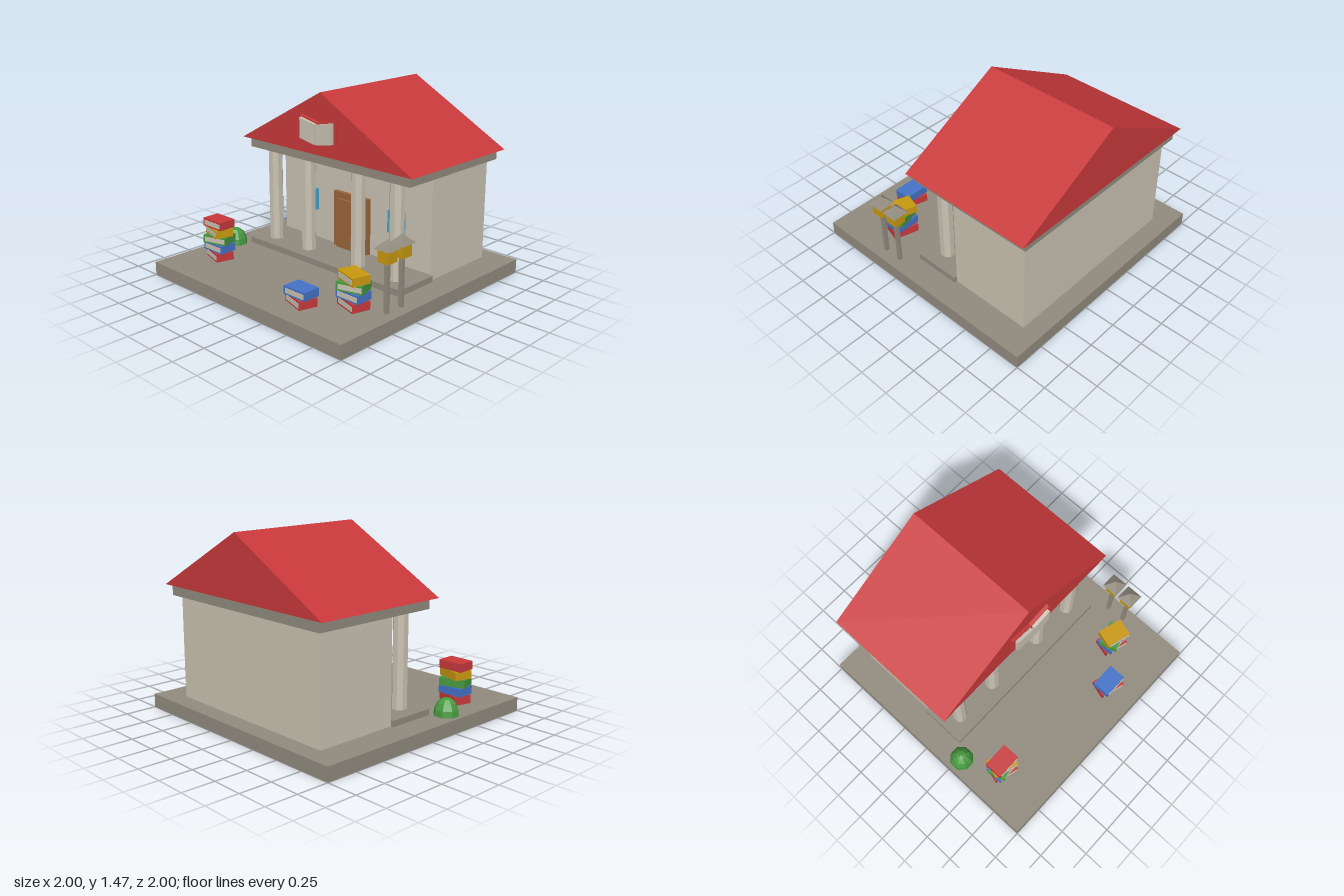
import * as THREE from 'three';

const mat = (name, color, side = THREE.FrontSide) => {
  const m = new THREE.MeshStandardMaterial({ color, side, flatShading: true });
  m.name = name;
  return m;
};

export function createModel() {
  const root = new THREE.Group();
  root.name = 'library';
  const stone = mat('stone grey', 0x928b7e);
  const slab = stone;
  const beige = mat('beige', 0xcac3b3);
  const red = mat('red', 0xc8393b);
  const brown = mat('brown', 0x9b663a);
  const glass = mat('window blue', 0x4aa3cc);
  const blue = mat('book blue', 0x4473c8);
  const yellow = mat('yellow', 0xc8990f);
  const green = mat('green', 0x489a40);
  stone.side = THREE.DoubleSide;

  const add = (name, geometry, material, parent = root) => {
    const mesh = new THREE.Mesh(geometry, material);
    mesh.name = name;
    parent.add(mesh);
    return mesh;
  };
  // Box given by its limits on each axis
  const box = (name, material, x0, x1, y0, y1, z0, z1, parent = root) => {
    const mesh = add(name, new THREE.BoxGeometry(x1 - x0, y1 - y0, z1 - z0), material, parent);
    mesh.position.set((x0 + x1) / 2, (y0 + y1) / 2, (z0 + z1) / 2);
    return mesh;
  };
  // Flat outline extruded from z0 to z1
  const plate = (name, material, points, z0, z1, parent = root) => {
    const shape = new THREE.Shape(points.map(([x, y]) => new THREE.Vector2(x, y)));
    const mesh = add(name, new THREE.ExtrudeGeometry(shape, { depth: z1 - z0, bevelEnabled: false }), material, parent);
    mesh.position.z = z0;
    return mesh;
  };

  // Ground slab, open underneath (the -y face is removed)
  const ground = box('groundSlab', slab, -1, 1, 0, 0.107, -1, 1).geometry;
  ground.setIndex(Array.from(ground.index.array).filter((_, i) => i < 18 || i >= 24));
  ground.clearGroups();

  // Building
  box('porchFloor', stone, -0.8, 0.8, 0.107, 0.155, -0.19, 0.19);
  box('walls', beige, -0.775, 0.775, 0.107, 0.91, -0.855, -0.19);
  box('entablature', stone, -0.825, 0.825, 0.91, 0.99, -0.905, 0.135);
  plate('roof', red, [[-0.877, 0.99], [0.877, 0.99], [0, 1.467]], -0.932, 0.175);

  // Octagonal columns
  for (const x of [-0.64, -0.264, 0.264, 0.64]) {
    const column = add('column', new THREE.CylinderGeometry(0.058, 0.058, 0.755, 8).rotateY(Math.PI / 8), beige);
    column.position.set(x, 0.5325, 0.043);
  }

  // Door and windows
  box('doorFrame', brown, -0.18, 0.18, 0.155, 0.61, -0.19, -0.155);
  box('doorPanel', brown, -0.133, 0.133, 0.155, 0.56, -0.19, -0.135);
  for (const s of [-1, 1]) {
    box('window', glass, s * 0.455 - 0.074, s * 0.455 + 0.074, 0.4, 0.577, -0.19, -0.155);
  }

  // Open book on the gable
  const sign = new THREE.Group();
  sign.name = 'gableBook';
  root.add(sign);
  for (const s of [-1, 1]) {
    plate('bookCover', red, [[0, 1.06], [s * 0.185, 1.097], [s * 0.185, 1.28], [0, 1.243]], 0.17, 0.202, sign);
    plate('bookPage', beige, [[s * 0.008, 1.08], [s * 0.165, 1.11], [s * 0.165, 1.267], [s * 0.008, 1.235]], 0.2, 0.228, sign);
  }

  // Stacks of books, each turned a little against the next
  const covers = [red, blue, green, yellow, red];
  const stack = (x, z, count) => {
    const group = new THREE.Group();
    group.name = 'bookStack';
    group.position.set(x, 0.107, z);
    root.add(group);
    for (let i = 0; i < count; i++) {
      const book = new THREE.Group();
      book.name = 'book';
      book.position.y = i * 0.0645;
      book.rotation.y = ((i % 3) - 1) * 0.28;
      group.add(book);
      box('cover', covers[i], -0.102, 0.102, 0, 0.0645, -0.072, 0.072, book);
      box('pages', beige, -0.085, 0.096, 0.014, 0.051, 0.07, 0.076, book);
    }
  };
  stack(-0.72, 0.582, 5);
  stack(0.375, 0.742, 2);
  stack(0.67, 0.527, 4);

  // Lamp posts
  for (const z of [0.3, 0.452]) {
    const lamp = new THREE.Group();
    lamp.name = 'lampPost';
    lamp.position.set(0.905, 0, z);
    root.add(lamp);
    box('post', stone, -0.015, 0.015, 0.107, 0.485, -0.015, 0.015, lamp);
    box('lantern', yellow, -0.047, 0.047, 0.482, 0.577, -0.047, 0.047, lamp);
    const cap = add('lanternCap', new THREE.ConeGeometry(0.067 * Math.SQRT2, 0.065, 4).rotateY(Math.PI / 4), stone, lamp);
    cap.position.y = 0.6095;
  }

  // Faceted bush
  const profile = [[0.097, 0], [0.09, 0.05], [0.068, 0.095], [0.037, 0.122], [0, 0.131]]
    .map(([r, y]) => new THREE.Vector2(r, y));
  const bush = add('bush', new THREE.LatheGeometry(profile, 8).rotateY(Math.PI / 8), green);
  bush.position.set(-0.88, 0.107, 0.288);

  return root;
}
